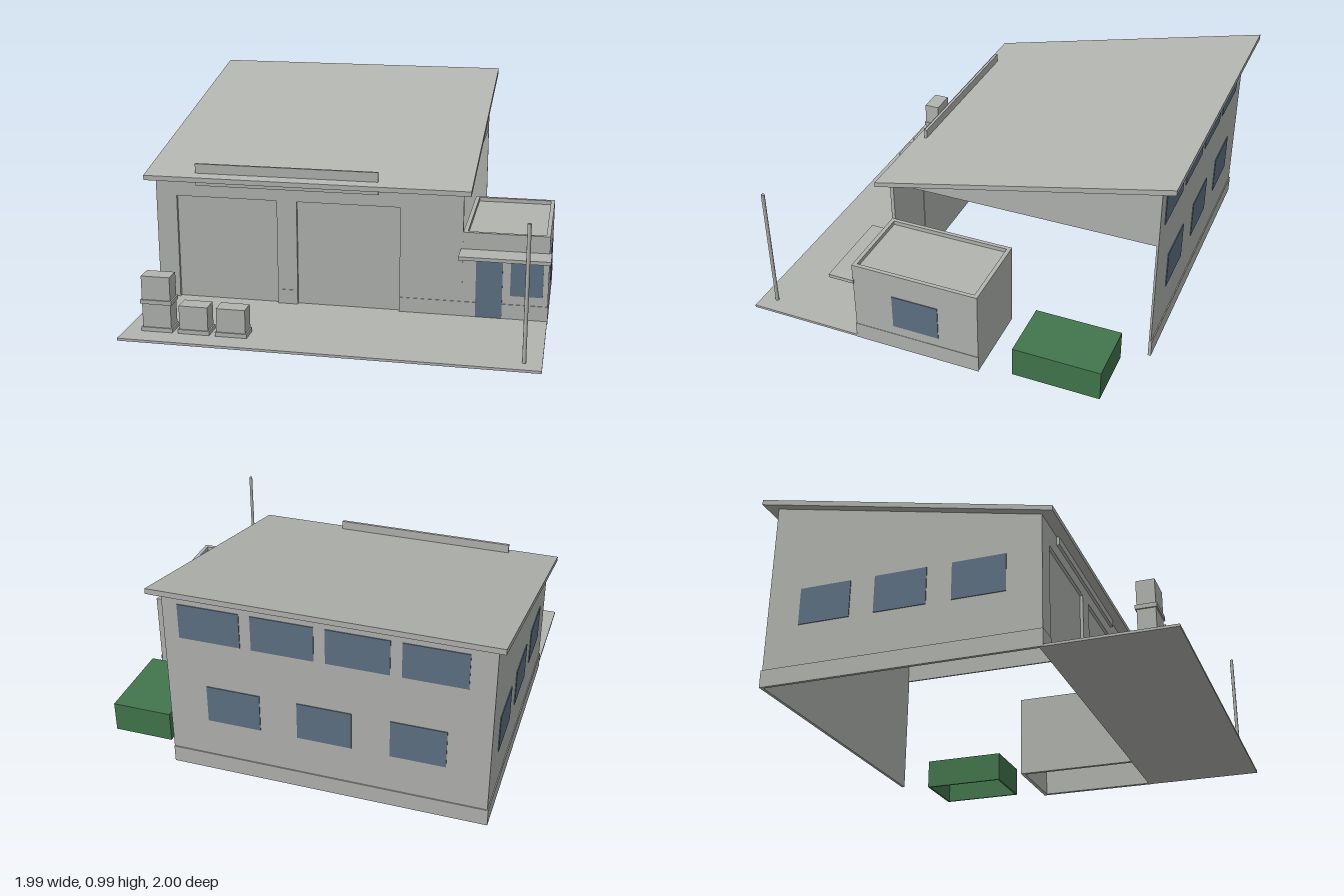
import * as THREE from 'three';

export function createModel() {
  const model = new THREE.Group();
  model.name = 'workshopBuilding';
  const mat = (name, color) => {
    const m = new THREE.MeshStandardMaterial({ color, side: THREE.DoubleSide });
    m.name = name;
    return m;
  };
  const grey = mat('concreteGrey', 0xb2b4b0);
  const blue = mat('glassBlue', 0x5f7183);
  const green = mat('containerGreen', 0x42764c);

  const add = (name, geo, material, parent = model) => {
    const m = new THREE.Mesh(geo, material);
    m.name = name;
    parent.add(m);
    return m;
  };
  // Box from its limits on each axis
  const box = (name, x0, x1, y0, y1, z0, z1, material = grey, parent = model) =>
    add(name, new THREE.BoxGeometry(x1 - x0, y1 - y0, z1 - z0)
      .translate((x0 + x1) / 2, (y0 + y1) / 2, (z0 + z1) / 2), material, parent);
  // Profile of [z, y] points swept from x0 to x1
  const side = (name, pts, x0, x1, parent = model) => {
    const shape = new THREE.Shape(pts.map(p => new THREE.Vector2(p[0], p[1])));
    const geo = new THREE.ExtrudeGeometry(shape, { depth: x1 - x0, bevelEnabled: false });
    add(name, geo.rotateY(-Math.PI / 2).translate(x1, 0, 0), grey, parent);
  };
  const group = name => {
    const g = new THREE.Group();
    g.name = name;
    model.add(g);
    return g;
  };

  // Forecourt slab
  box('forecourt', -0.96, 0.98, 0, 0.012, 0.415, 1);

  // Main hall, open on its left side below the gable
  const hall = group('hall');
  const t = 0.01;
  const doors = [[-0.855, -0.345], [-0.245, 0.265]];
  const front = new THREE.Shape([[-0.96, 0], [0.57, 0], [0.57, 0.643], [-0.96, 0.643]]
    .map(p => new THREE.Vector2(...p)));
  for (const [a, b] of doors) {
    front.holes.push(new THREE.Path([[a, 0.012], [a, 0.54], [b, 0.54], [b, 0.012]]
      .map(p => new THREE.Vector2(...p))));
    box('hallDoor', a, b, 0.012, 0.54, 0.397, 0.403, grey, hall);
  }
  add('frontWall', new THREE.ExtrudeGeometry(front, { depth: 0.018, bevelEnabled: false })
    .translate(0, 0, 0.4), grey, hall);
  box('backWall', -0.96, 0.57, 0, 0.942, -0.93, -0.93 + t, grey, hall);
  side('rightWall', [[0.418, 0], [0.418, 0.643], [-0.93, 0.944], [-0.93, 0]], -0.96, -0.96 + t, hall);
  side('leftGable', [[0.418, 0.643], [-0.93, 0.944], [-0.93, 0.643]], 0.57 - t, 0.57, hall);
  side('roof', [[0.48, 0.628], [0.48, 0.652], [-1, 0.987], [-1, 0.96]], -1, 0.61, hall);
  box('signBoard', -0.75, 0.16, 0.6, 0.71, 0.418, 0.432, grey, hall);

  // Hall windows: upper and lower rows at the back, one row on the right
  for (let i = 0; i < 4; i++) {
    const x = 0.2 - i * 0.348;
    box('upperWindow', x, x + 0.295, 0.715, 0.89, -0.934, -0.929, blue, hall);
  }
  for (let i = 0; i < 3; i++) {
    const x = 0.118 - i * 0.44;
    box('lowerWindow', x, x + 0.26, 0.28, 0.47, -0.934, -0.929, blue, hall);
    const z = -0.763 + i * 0.379;
    box('sideWindow', -0.964, -0.959, 0.29, 0.475, z, z + 0.257, blue, hall);
  }

  // Plinth strips
  const plinth = group('plinth');
  const ph = 0.085, pd = 0.005;
  for (const [a, b] of [[-0.965, -0.855], [-0.345, -0.245], [0.265, 0.635], [0.76, 0.982]])
    box('frontPlinth', a, b, 0, ph, 0.416, 0.416 + pd, grey, plinth);
  box('backPlinth', -0.965, 0.57, 0, ph, -0.935, -0.93, grey, plinth);
  box('rightPlinth', -0.965, -0.96, 0, ph, -0.935, 0.42, grey, plinth);
  box('annexPlinth', 0.979, 0.982, 0, ph, -0.225, 0.42, grey, plinth);

  // Office annex with parapet and sunken flat roof
  const annex = group('annex');
  const ah = 0.435, w = 0.02;
  box('annexFront', 0.57, 0.98, 0, ah, 0.417 - w, 0.417, grey, annex);
  box('annexBack', 0.57, 0.98, 0, ah, -0.222, -0.222 + w, grey, annex);
  box('annexOuterWall', 0.98 - w, 0.98, 0, ah, -0.202, 0.397, grey, annex);
  box('annexInnerWall', 0.57, 0.57 + w, 0, ah, -0.202, 0.397, grey, annex);
  box('annexRoof', 0.59, 0.96, 0.405, 0.415, -0.202, 0.397, grey, annex);
  box('canopy', 0.56, 0.99, 0.335, 0.352, 0.41, 0.54, grey, annex);
  box('annexDoor', 0.635, 0.762, 0.012, 0.303, 0.416, 0.422, blue, annex);
  box('annexWindow', 0.8, 0.955, 0.13, 0.31, 0.416, 0.422, blue, annex);
  box('annexSideWindow', 0.978, 0.984, 0.135, 0.31, -0.02, 0.215, blue, annex);

  // Pole at the forecourt corner
  add('pole', new THREE.CylinderGeometry(0.009, 0.009, 0.64, 8).translate(0.9, 0.33, 0.922), grey);

  // Crates on pallets, the first one stacked two high
  const crates = group('crates');
  for (const [x, y] of [[-0.805, 0.012], [-0.805, 0.147], [-0.627, 0.012], [-0.447, 0.012]]) {
    box('pallet', x - 0.076, x + 0.076, y, y + 0.02, 0.798, 0.893, grey, crates);
    box('crate', x - 0.069, x + 0.069, y + 0.02, y + 0.135, 0.804, 0.887, grey, crates);
  }

  // Green container, open underneath
  const bin = group('container');
  box('containerTop', 0.65, 0.95, 0.155, 0.165, -0.81, -0.38, green, bin);
  for (const x of [0.65, 0.94]) box('containerSide', x, x + t, 0.012, 0.155, -0.81, -0.38, green, bin);
  for (const z of [-0.81, -0.39]) box('containerEnd', 0.66, 0.94, 0.012, 0.155, z, z + t, green, bin);

  return model;
}
